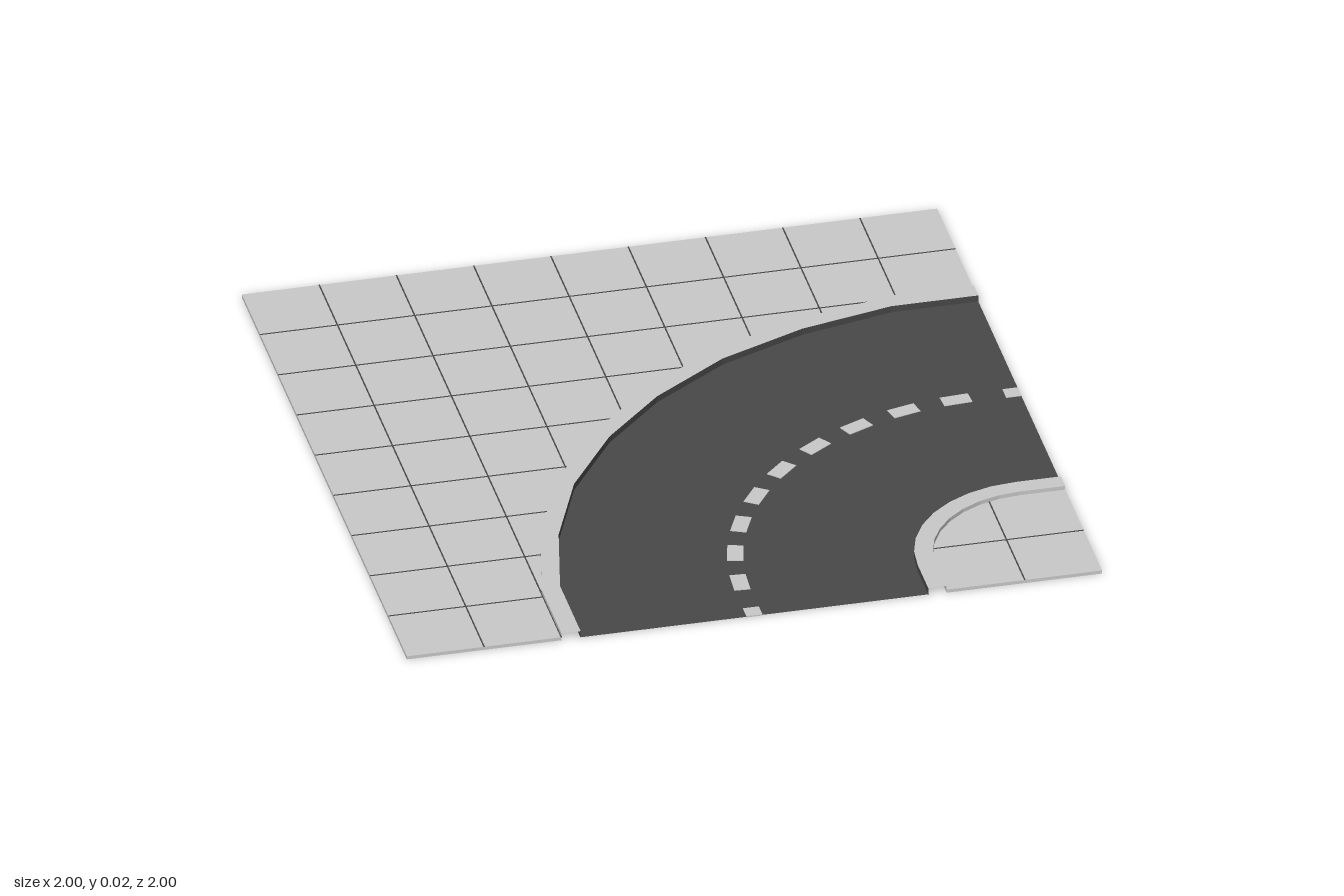
import * as THREE from 'three';

const C = 0.87; // centre of the bend in x and z
const SLAB = 0.01, CURB = 0.022, ROAD = 0.002;

const paving = new THREE.MeshStandardMaterial({ name: 'light concrete', color: 0xc9c9c9, side: THREE.DoubleSide });
const asphalt = new THREE.MeshStandardMaterial({ name: 'dark asphalt', color: 0x484848, side: THREE.DoubleSide });

// Edge line running from the front side round to the right side; every point is [x, z]
function bend(half) {
  const mirrored = half.map(([x, z]) => [z, x]).reverse();
  return [...half, ...mirrored];
}

function arc(radius, steps) {
  const pts = [[C - radius, 1]];
  for (let i = 0; i <= steps; i++) {
    const a = (i / steps) * Math.PI / 2;
    pts.push([C - radius * Math.cos(a), C - radius * Math.sin(a)]);
  }
  pts.push([1, C - radius]);
  return pts;
}

// Flat sheet at height y, facing up
function sheet(pts, y) {
  const shape = new THREE.Shape(pts.map(([x, z]) => new THREE.Vector2(x, -z)));
  return new THREE.ShapeGeometry(shape).rotateX(-Math.PI / 2).translate(0, y, 0);
}

// Upright wall along a line
function wall(pts, y0, y1) {
  const v = [];
  for (let i = 0; i < pts.length - 1; i++) {
    const [ax, az] = pts[i], [bx, bz] = pts[i + 1];
    v.push(ax, y0, az, bx, y0, bz, bx, y1, bz, ax, y0, az, bx, y1, bz, ax, y1, az);
  }
  const g = new THREE.BufferGeometry();
  g.setAttribute('position', new THREE.Float32BufferAttribute(v, 3));
  g.computeVertexNormals();
  return g;
}

export function createModel() {
  const model = new THREE.Group();
  model.name = 'roadBendTile';
  const add = (name, geometry, material) => {
    const mesh = new THREE.Mesh(geometry, material);
    mesh.name = name;
    model.add(mesh);
    return mesh;
  };

  const outerKerb = bend([[-0.555, 1], [-0.555, 0.76], [-0.495, 0.49], [-0.39, 0.21], [-0.23, -0.02]]);
  const outerRoad = bend([[-0.5, 1], [-0.5, 0.75], [-0.44, 0.48], [-0.335, 0.225], [-0.18, 0]]);
  const innerRoad = arc(C - 0.5, 8);
  const innerKerb = arc(C - 0.553, 8);
  const reversed = (pts) => [...pts].reverse();

  // Road surface
  add('road', sheet([...outerRoad, ...reversed(innerRoad)], ROAD), asphalt);

  // Curbs: light top and pavement side, dark road side
  add('outerCurbTop', sheet([...outerKerb, ...reversed(outerRoad)], CURB), paving);
  add('outerCurbBack', wall(reversed(outerKerb), 0, CURB), paving);
  add('outerCurbRoadFace', wall(outerRoad, 0, CURB), asphalt);
  add('innerCurbTop', sheet([...innerRoad, ...reversed(innerKerb)], CURB), paving);
  add('innerCurbBack', wall(innerKerb, 0, CURB), paving);
  add('innerCurbRoadFace', wall(reversed(innerRoad), 0, CURB), asphalt);

  // Pavements with their outer edges
  add('outerPavement', sheet([[-1, -1], ...outerKerb.length ? [[-1, 1]] : [], ...outerKerb, [1, -1]], SLAB), paving);
  add('outerPavementEdge', wall([[1, -0.555], [1, -1], [-1, -1], [-1, 1], [-0.555, 1]], 0, SLAB), paving);
  add('innerPavement', sheet([...innerKerb, [1, 1]], SLAB), paving);
  add('innerPavementEdge', wall([[0.553, 1], [1, 1], [1, 0.553]], 0, SLAB), paving);

  // Paving joints: one line along z and its mirror along x
  const joint = (at, from, to) => {
    const len = to - from, mid = (from + to) / 2;
    add('pavingJoint', new THREE.BoxGeometry(0.004, 0.002, len).translate(at, SLAB, mid), asphalt);
    add('pavingJoint', new THREE.BoxGeometry(len, 0.002, 0.004).translate(mid, SLAB, at), asphalt);
  };
  const crossing = (line, x) => {
    for (let i = 0; i < line.length - 1; i++) {
      const [ax, az] = line[i], [bx, bz] = line[i + 1];
      if (x > ax && x <= bx) return az + (bz - az) * (x - ax) / (bx - ax);
    }
    return 1;
  };
  for (let i = 1; i < 9; i++) {
    const at = -1 + i * 2 / 9;
    joint(at, -1, crossing(outerKerb, at));
    if (at > 0.56) joint(at, crossing(innerKerb, at), 1);
  }

  // Dashed centre line, with half dashes at both ends
  const dash = (x, z, length, angle) => {
    const mesh = add('centreDash', new THREE.BoxGeometry(0.046, 0.004, length), paving);
    mesh.position.set(x, ROAD, z);
    mesh.rotation.y = -angle;
  };
  for (let i = 0; i < 9; i++) {
    const a = THREE.MathUtils.degToRad(3.5 + i * 10.375);
    dash(C - C * Math.cos(a), C - C * Math.sin(a), 0.082, a);
  }
  dash(0, 0.978, 0.044, 0);
  dash(0.978, 0, 0.044, Math.PI / 2);

  return model;
}
